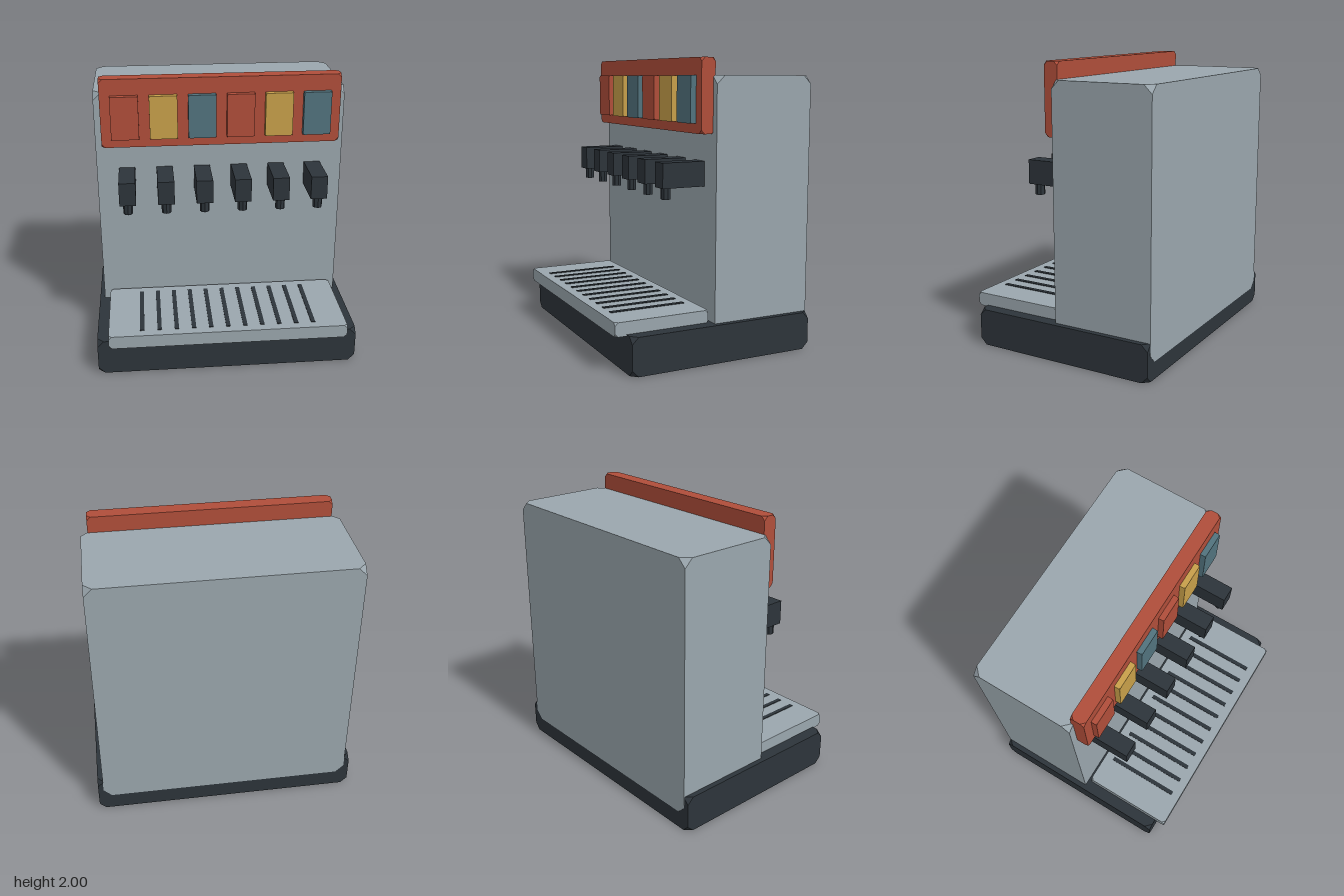
import * as THREE from 'three';
import { ConvexGeometry } from 'three/addons/geometries/ConvexGeometry.js';

const material = (name, color) => {
  const m = new THREE.MeshStandardMaterial({ color });
  m.name = name;
  return m;
};

// Box with sharp edges whose eight corners are cut off by a triangle.
function cutBox(w, h, d, cut) {
  const points = [];
  for (const sx of [-1, 1]) for (const sy of [-1, 1]) for (const sz of [-1, 1]) {
    const x = sx * w / 2, y = sy * h / 2, z = sz * d / 2;
    points.push(
      new THREE.Vector3(x - sx * cut, y, z),
      new THREE.Vector3(x, y - sy * cut, z),
      new THREE.Vector3(x, y, z - sz * cut));
  }
  return new ConvexGeometry(points);
}

export function createModel() {
  const model = new THREE.Group();
  model.name = 'drinkDispenser';

  const steel = material('steel grey', 0x9aa6ad);
  const dark = material('charcoal', 0x2d343a);
  const red = material('brick red', 0xb04e3a);
  const yellow = material('mustard yellow', 0xc8a04a);
  const blue = material('slate blue', 0x52737e);

  const add = (name, geometry, mat, x, y, z) => {
    const mesh = new THREE.Mesh(geometry, mat);
    mesh.name = name;
    mesh.position.set(x, y, z);
    model.add(mesh);
  };
  // Adds a box, corner-cut if asked, from its extents on each axis.
  const addBox = (name, mat, [x0, x1], [y0, y1], [z0, z1], cut = 0) => {
    const w = x1 - x0, h = y1 - y0, d = z1 - z0;
    const geometry = cut ? cutBox(w, h, d, cut) : new THREE.BoxGeometry(w, h, d);
    add(name, geometry, mat, (x0 + x1) / 2, (y0 + y1) / 2, (z0 + z1) / 2);
  };

  // Cabinet: base, tall body sunk into it, and header board
  addBox('base', dark, [-0.925, 0.925], [0, 0.26], [-0.709, 0.63], 0.045);
  addBox('body', steel, [-0.888, 0.888], [0.12, 1.885], [-0.71, 0.015], 0.057);
  addBox('header', red, [-0.84, 0.84], [1.51, 2], [0, 0.102], 0.027);

  // Drip tray with dark slots
  addBox('dripTray', steel, [-0.84, 0.84], [0.25, 0.345], [0.04, 0.71], 0.022);
  for (let i = -5; i <= 5; i++) {
    const x = i * 0.121;
    addBox('traySlot', dark, [x - 0.015, x + 0.015], [0.341, 0.35], [0.105, 0.645]);
  }

  // Six flavour panels, each above a tap with a nozzle
  const panelColours = [red, yellow, blue];
  for (let i = 0; i < 6; i++) {
    const x = (i - 2.5) * 0.269;
    addBox('flavourPanel', panelColours[i % 3], [x - 0.097, x + 0.097], [1.576, 1.885], [0.09, 0.142], 0.01);
    addBox('tap', dark, [x - 0.058, x + 0.058], [1.157, 1.325], [0, 0.322]);
    const nozzle = new THREE.CylinderGeometry(0.034, 0.034, 0.1, 8).toNonIndexed();
    nozzle.computeVertexNormals();
    add('nozzle', nozzle, dark, x, 1.13, 0.272);
  }
  return model;
}
